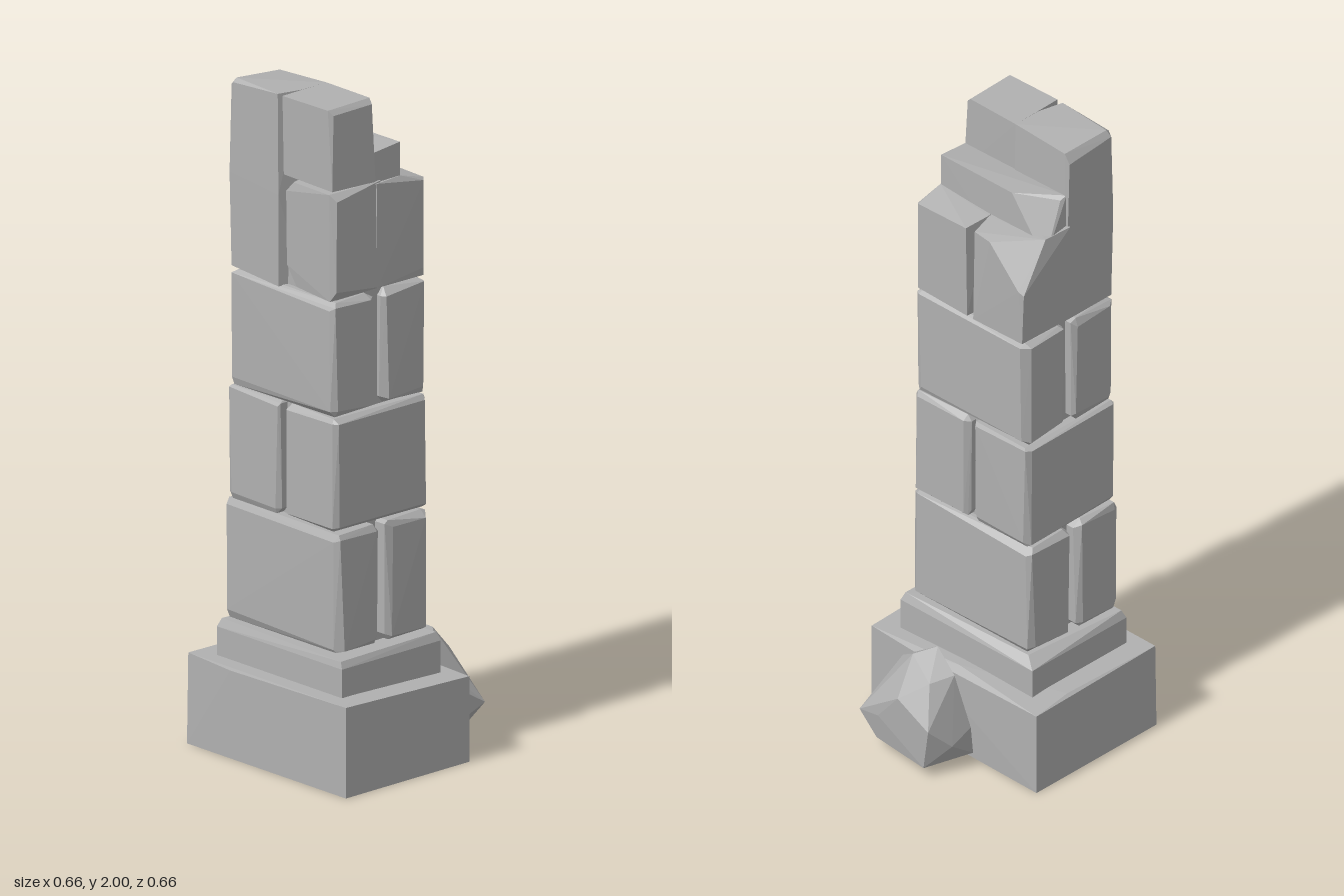
import * as THREE from 'three';
import { ConvexGeometry } from 'three/addons/geometries/ConvexGeometry.js';

const stone = new THREE.MeshStandardMaterial({ color: 0xb0b0b0 });
stone.name = 'grey stone';

// Small seeded generator for the uneven stone edges
let seed = 7;
const rand = () => (seed = (seed * 16807) % 2147483647) / 2147483647;

export function createModel() {
  seed = 7;
  const group = new THREE.Group();
  group.name = 'ruinedPillar';

  const hull = (name, points) => {
    const mesh = new THREE.Mesh(new ConvexGeometry(points.map((p) => new THREE.Vector3(...p))), stone);
    mesh.name = name;
    group.add(mesh);
  };

  // Hewn block: every corner becomes three points, pulled in unevenly along each axis
  const block = (name, x, y, z, chip = 0.014, wear = 0.004) => {
    const points = [];
    for (const i of [0, 1]) for (const j of [0, 1]) for (const k of [0, 1]) {
      const corner = [x[i], y[j], z[k]];
      const inward = [1 - 2 * i, 1 - 2 * j, 1 - 2 * k];
      for (let face = 0; face < 3; face++) {
        points.push(corner.map((c, a) =>
          c + inward[a] * (a === face ? wear * rand() : chip * (0.5 + rand()))));
      }
    }
    hull(name, points);
  };

  // Base slab with a slightly worn back top edge
  hull('baseSlab', [
    [-0.33, 0, 0.33], [0.33, 0, 0.33], [0.33, 0, -0.145], [-0.33, 0, -0.155],
    [-0.33, 0.27, 0.325], [0.33, 0.27, 0.33], [0.33, 0.255, -0.145], [-0.33, 0.26, -0.155],
    [-0.15, 0.262, 0.33], [-0.32, 0.27, -0.02], [0, 0.27, -0.13], [0.16, 0.255, -0.155],
  ]);

  // Plinth with a bevelled top
  hull('plinth', [
    ...[[-0.26, -0.1], [0.26, -0.1], [0.26, 0.28], [-0.26, 0.28]].flatMap(([x, z]) => [[x, 0.26, z], [x, 0.355, z]]),
    [-0.25, 0.38, 0.27], [0.25, 0.375, 0.275], [0.25, 0.38, -0.09], [-0.22, 0.38, -0.075],
  ]);

  // Recessed core seen at the bottom of the joints
  block('core', [-0.19, 0.185], [0.36, 1.6], [-0.055, 0.235], 0.002, 0);

  // Courses split alternately front to back and side to side
  const back = -0.09, front = 0.27;
  for (const [n, x, y, joint] of [[1, [-0.24, 0.235], [0.385, 0.745], 0.095], [3, [-0.225, 0.215], [1.085, 1.43], 0.09]]) {
    block('course' + n + 'Front', x, y, [joint + 0.012, front], 0.018);
    block('course' + n + 'Back', x, y, [back, joint - 0.012], 0.018);
  }
  block('course2Right', [-0.23, -0.012], [0.745, 1.085], [back, front]);
  block('course2Left', [0.006, 0.222], [0.745, 1.085], [back, front]);

  // Broken top course: tall front stones with a wedge-shaped joint
  hull('topFrontRight', [
    [-0.215, 1.44, 0.265], [-0.02, 1.425, 0.265], [-0.205, 1.43, 0.09], [0, 1.43, 0.09],
    [-0.218, 1.98, 0.262], [-0.205, 2, 0.255], [-0.2, 1.99, 0.27], [-0.02, 2, 0.268],
    [-0.001, 2, 0.19], [-0.001, 1.43, 0.19], [0, 2, 0.098], [-0.195, 1.99, 0.098],
    [-0.212, 1.96, 0.1], [-0.218, 1.72, 0.27], [-0.015, 1.7, 0.27],
  ]);
  hull('topFrontLeftUpper', [
    [0.002, 1.765, 0.265], [0.2, 1.76, 0.262], [0, 1.75, 0.1], [0.205, 1.755, 0.1],
    [0.002, 2, 0.27], [0.185, 2, 0.265], [0.198, 1.985, 0.255], [0, 2, 0.19],
    [0, 2, 0.098], [0.18, 2, 0.1], [0.195, 1.985, 0.105],
  ]);
  hull('topFrontLeftLower', [
    [0.015, 1.5, 0.265], [0.05, 1.44, 0.26], [0.19, 1.43, 0.262], [0.21, 1.46, 0.255],
    [0.015, 1.72, 0.268], [0.04, 1.75, 0.262], [0.19, 1.75, 0.265], [0.212, 1.73, 0.255],
    [0, 1.44, 0.08], [0.212, 1.44, 0.08], [0, 1.76, 0.08], [0.205, 1.755, 0.08],
  ]);

  // Stepped stones behind, with the right corner broken away
  hull('middleStep', [
    [-0.205, 1.5, 0.11], [0.2, 1.5, 0.11], [-0.205, 1.5, -0.005], [0.2, 1.5, 0],
    [-0.2, 1.85, 0.1], [0.2, 1.84, 0.11], [0.198, 1.85, 0], [-0.08, 1.85, 0.002],
    [-0.195, 1.84, 0.08], [-0.212, 1.68, 0],
  ]);
  hull('topBackRight', [
    [-0.215, 1.44, 0.1], [-0.01, 1.43, 0.1], [-0.205, 1.435, -0.085], [-0.012, 1.43, -0.085],
    [-0.212, 1.6, -0.085], [-0.195, 1.61, -0.09], [-0.08, 1.725, -0.088], [-0.018, 1.73, -0.085],
    [-0.002, 1.74, -0.01], [0, 1.75, 0.09], [-0.205, 1.745, 0.01], [-0.215, 1.75, 0.1],
  ]);
  hull('topBackLeft', [
    [0.005, 1.43, 0.1], [0.212, 1.44, 0.1], [0.012, 1.43, -0.085], [0.205, 1.435, -0.085],
    [0.21, 1.46, -0.08], [0.012, 1.73, -0.09], [0.2, 1.725, -0.09], [0.21, 1.72, -0.08],
    [0, 1.74, -0.01], [0.2, 1.75, 0.0], [0.21, 1.75, 0.1], [0, 1.75, 0.1],
  ]);

  // Fallen boulder leaning on the back of the base
  hull('fallenBoulder', [
    [-0.08, 0.02, -0.155], [0.17, 0.015, -0.155], [0.18, 0.24, -0.172], [-0.1, 0.13, -0.185],
    [-0.06, 0.3, -0.21], [0.03, 0.345, -0.185], [0.08, 0.32, -0.235], [-0.03, 0.29, -0.28],
    [0.045, 0.23, -0.332], [-0.075, 0.17, -0.332], [-0.1, 0.1, -0.26], [0.13, 0.13, -0.325],
    [0.212, 0.11, -0.315], [0.205, 0.15, -0.25], [0.15, 0.04, -0.31], [-0.05, 0.035, -0.325],
  ]);

  return group;
}
